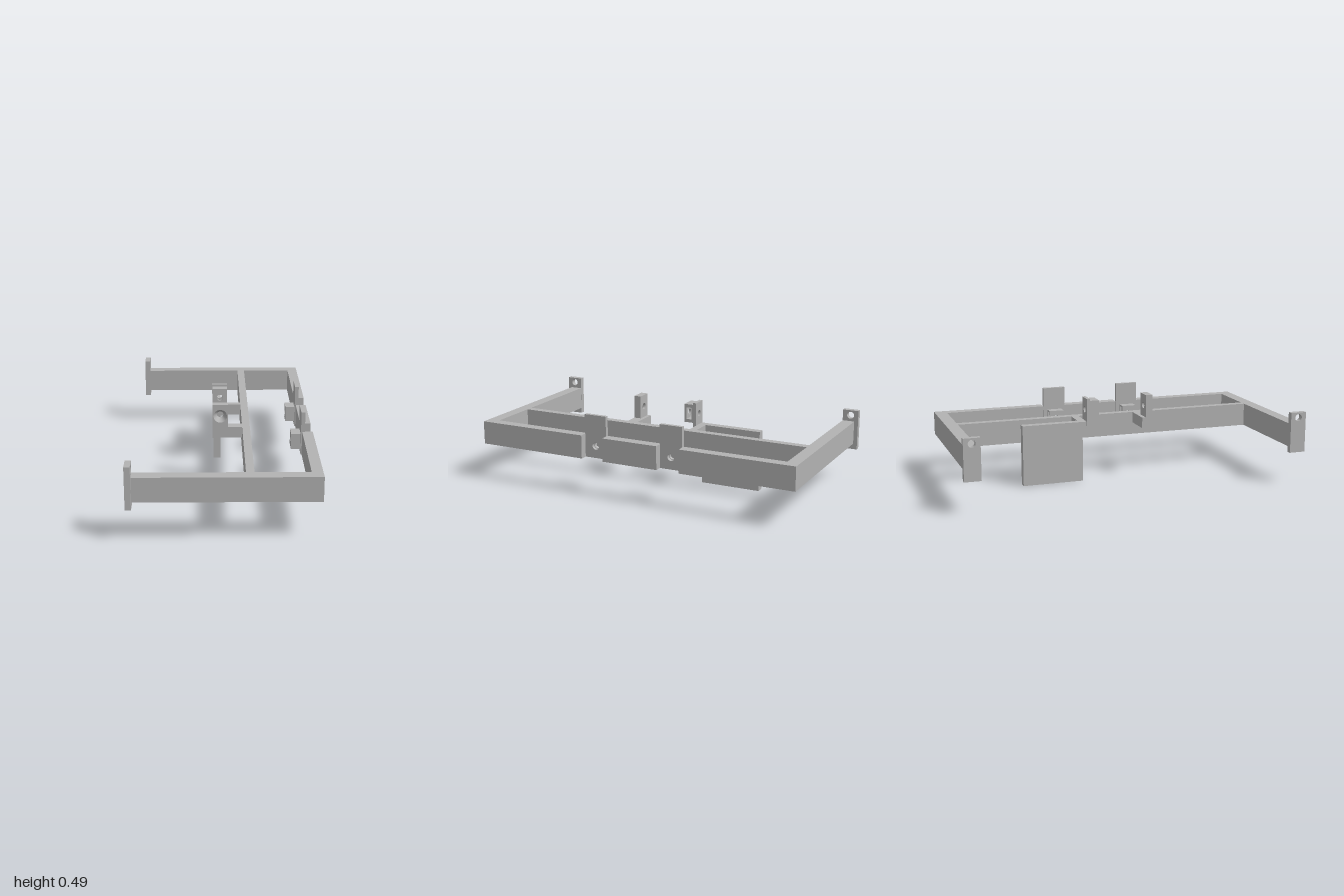
import * as THREE from 'three';

export function createModel() {
  const model = new THREE.Group();
  const metal = new THREE.MeshStandardMaterial({ color: 0xb2b2b2 });
  metal.name = 'grey metal';
  const liner = new THREE.MeshStandardMaterial({ color: 0xb2b2b2, side: THREE.DoubleSide });
  liner.name = 'grey metal lining';

  const add = (parent, name, geometry, material = metal) => {
    const mesh = new THREE.Mesh(geometry, material);
    mesh.name = name;
    parent.add(mesh);
    return mesh;
  };
  // box given by its limits on each axis
  const box = (name, x0, x1, y0, y1, z0, z1) => {
    const g = new THREE.BoxGeometry(x1 - x0, y1 - y0, z1 - z0);
    g.translate((x0 + x1) / 2, (y0 + y1) / 2, (z0 + z1) / 2);
    return add(model, name, g);
  };
  const outline = (pts) => new THREE.Shape(pts.map(([x, y]) => new THREE.Vector2(x, y)));
  const rect = (x0, x1, y0, y1) => outline([[x0, y0], [x1, y0], [x1, y1], [x0, y1]]);
  // rectangle with a round hole, extruded along z
  const holed = (x0, x1, y0, y1, hx, hy, r, z0, depth) => {
    const s = rect(x0, x1, y0, y1);
    s.holes.push(new THREE.Path().absarc(hx, hy, r, 0, Math.PI * 2, true));
    const g = new THREE.ExtrudeGeometry(s, { depth, bevelEnabled: false, curveSegments: 24 });
    return g.translate(0, 0, z0);
  };

  // block with a bolt hole along z and a hexagonal nut pocket open towards +x
  const nutBlock = (name, w, h) => {
    const group = new THREE.Group();
    group.name = name;
    const a = w / 2, b = h / 2, r = 0.035, c = r * 0.866;
    add(group, 'pocketFront', holed(-a, a, -b, b, 0, 0, 0.018, 0.043, 0.012));
    add(group, 'pocketBack', holed(-a, a, -b, b, 0, 0, 0.018, 0, 0.011));
    const s = outline([[-a, -b], [a, -b], [a, -r], [0, -r], [-c, -r / 2],
      [-c, r / 2], [0, r], [a, r], [a, b], [-a, b]]);
    const g = new THREE.ExtrudeGeometry(s, { depth: 0.032, bevelEnabled: false });
    add(group, 'pocketWalls', g.translate(0, 0, 0.011));
    model.add(group);
    return group;
  };

  // main frame
  const Y0 = 0.218, Y1 = 0.354;
  for (const s of [-1, 1]) {
    const z = s * 0.942;
    box('sideArm', -0.476, 0.505, Y0, Y1, z - 0.035, z + 0.035);
    // end plate with a hole near its top, turned to face along x
    const plate = add(model, 'endPlate',
      holed(-0.047, 0.047, 0.185, 0.42, 0, 0.39, 0.021, 0, 0.032));
    plate.rotation.y = Math.PI / 2;
    plate.position.set(-0.508, 0, s * 0.953);
  }
  box('crossRail', 0.109, 0.153, Y0, Y1, -0.91, 0.91);
  for (const [z0, z1] of [[-0.91, -0.307], [-0.171, 0.169], [0.305, 0.91]])
    box('outerRail', 0.445, 0.505, Y0, Y1, z0, z1);

  // upright tabs in the rail gaps, each with a nut block behind
  for (const z of [-0.238, 0.238]) {
    const tab = add(model, 'railTab',
      holed(-0.068, 0.068, Y0, 0.468, 0, 0.288, 0.021, 0, 0.022));
    tab.rotation.y = Math.PI / 2;
    tab.position.set(0.439, 0, z);
    const block = nutBlock('railNutBlock', 0.09, 0.09);
    block.rotation.y = Math.PI / 2;
    block.position.set(0.385, 0.288, z);
  }

  // front lug with a countersunk hole
  const X0 = -0.061, X1 = 0.028, HX = -0.016, HY = 0.42;
  box('frontLugArm', X0, 0.115, 0.29, Y1, 0.16, 0.224);
  add(model, 'frontLugBack', holed(X0, X1, Y1, 0.488, HX, HY, 0.019, 0.182, 0.014));
  add(model, 'frontLugFace', holed(X0, X1, Y1, 0.488, HX, HY, 0.038, 0.196, 0.028));
  const cone = new THREE.LatheGeometry(
    [new THREE.Vector2(0.019, 0), new THREE.Vector2(0.038, 0.028)], 32);
  cone.rotateX(Math.PI / 2);
  add(model, 'countersink', cone, liner).position.set(HX, HY, 0.196);

  // back lug: arm, plate and nut block
  box('backLugArm', -0.055, 0.115, 0.29, Y1, -0.227, -0.183);
  add(model, 'backLugPlate', holed(X0, X1, 0.29, 0.488, HX, HY, 0.019, -0.183, 0.02));
  nutBlock('backNutBlock', 0.089, 0.108).position.set(HX, 0.423, -0.164);

  // hanging panel
  box('hangingPanel', -0.055, -0.011, 0, Y1, -0.567, -0.208);

  return model;
}
